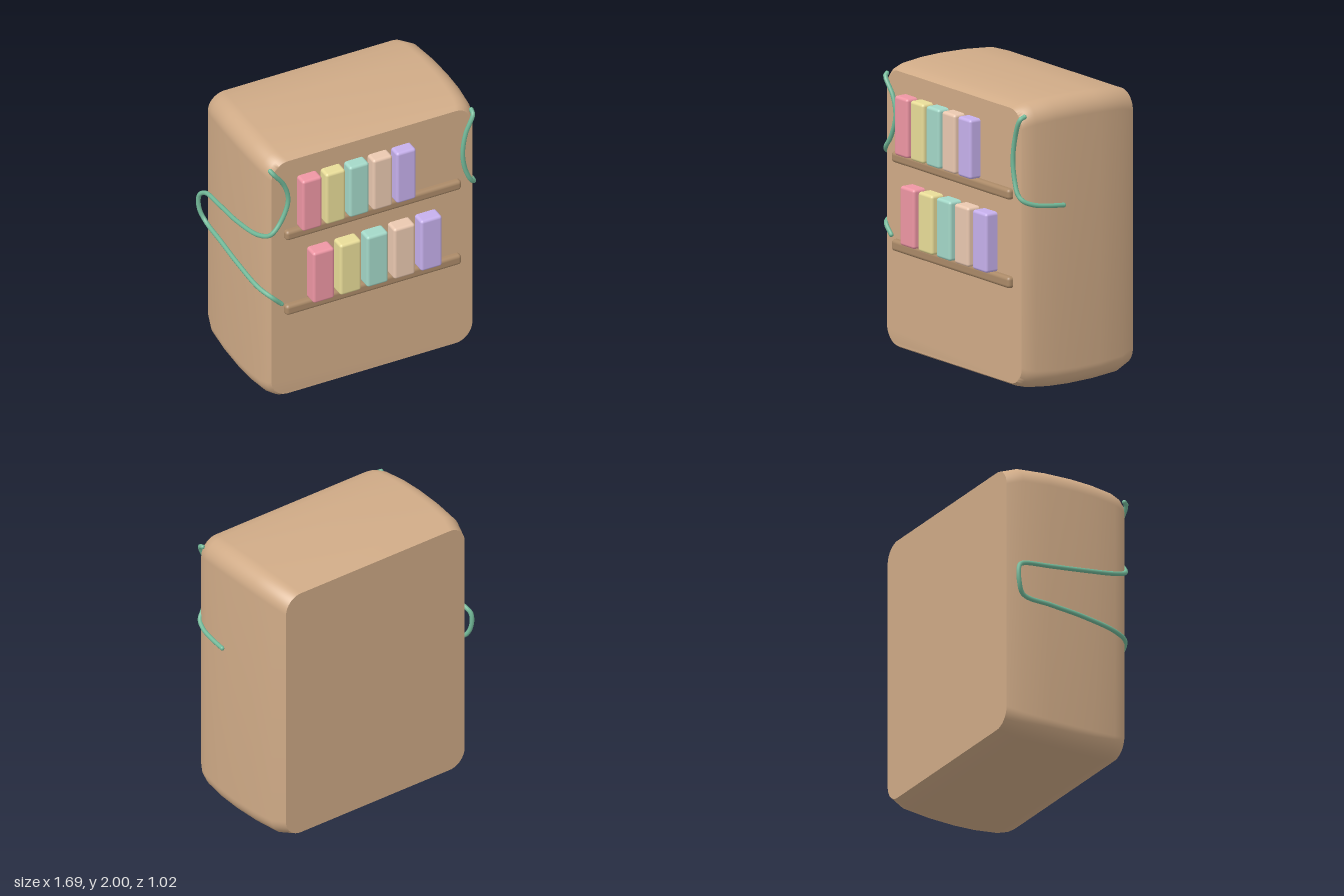
import * as THREE from 'three';
import { toCreasedNormals } from 'three/addons/utils/BufferGeometryUtils.js';
import { RoundedBoxGeometry } from 'three/addons/geometries/RoundedBoxGeometry.js';

const material = (color) => new THREE.MeshStandardMaterial({ color });

function addMesh(parent, name, geometry, mat) {
  const mesh = new THREE.Mesh(geometry, mat);
  mesh.name = name;
  parent.add(mesh);
  return mesh;
}

// Rounded rectangle extruded along z, drawn in towards the front and back
function bodyGeometry() {
  const w = 0.807, h = 1, r = 0.135;
  const shape = new THREE.Shape();
  shape.moveTo(-w + r, -h);
  shape.lineTo(w - r, -h);
  shape.absarc(w - r, -h + r, r, -Math.PI / 2, 0);
  shape.lineTo(w, h - r);
  shape.absarc(w - r, h - r, r, 0, Math.PI / 2);
  shape.lineTo(-w + r, h);
  shape.absarc(-w + r, h - r, r, Math.PI / 2, Math.PI);
  shape.lineTo(-w, -h + r);
  shape.absarc(-w + r, -h + r, r, Math.PI, Math.PI * 1.5);

  // [z, inset] at each station
  const stations = [[-0.51, 0.053], [-0.4, 0.018], [-0.2, 0.004], [0, 0], [0.16, 0.004], [0.32, 0.018], [0.385, 0.035], [0.415, 0.053]];
  const steps = stations.length - 1;
  const geo = new THREE.ExtrudeGeometry(shape, { depth: 1, steps, bevelEnabled: false, curveSegments: 8 });
  const p = geo.attributes.position;
  for (let i = 0; i < p.count; i++) {
    const [z, inset] = stations[Math.round(p.getZ(i) * steps)];
    p.setXYZ(i, p.getX(i) * (1 - inset / w) + 0.017, p.getY(i) * (1 - inset) + 1, z);
  }
  return toCreasedNormals(geo, 0.9);
}

// Round cord through points, with rounded ends
function addCord(parent, name, points, mat) {
  const group = new THREE.Group();
  group.name = name;
  const pts = points.map((q) => new THREE.Vector3(...q));
  const curve = new THREE.CatmullRomCurve3(pts, false, 'centripetal');
  addMesh(group, 'cord', new THREE.TubeGeometry(curve, 120, 0.016, 10), mat);
  for (const end of [pts[0], pts[pts.length - 1]]) {
    addMesh(group, 'cordEnd', new THREE.SphereGeometry(0.016, 10, 8), mat).position.copy(end);
  }
  parent.add(group);
}

export function createModel() {
  const model = new THREE.Group();
  addMesh(model, 'body', bodyGeometry(), material(0xd0ab87));

  // Two shelves, each with a row of five blocks
  const shelfMat = material(0xab8a68);
  const blockMats = [0xee96a4, 0xe8dc98, 0xa4d8c8, 0xeac8b0, 0xc6b0ec].map(material);
  const rows = [
    { y: 1.32, top: 1.395, x: -0.472, pitch: 0.177, width: 0.147, front: 0.5 },
    { y: 0.71, top: 0.79, x: -0.39, pitch: 0.2025, width: 0.16, front: 0.51 },
  ];
  for (const row of rows) {
    const height = row.top - row.y;
    addMesh(model, 'shelf', new RoundedBoxGeometry(1.32, height, 0.105, 3, 0.024), shelfMat)
      .position.set(0.016, row.y + height / 2, 0.4025);
    blockMats.forEach((mat, i) => {
      addMesh(model, 'block', new RoundedBoxGeometry(row.width, 0.41, 0.16, 3, 0.02), mat)
        .position.set(row.x + i * row.pitch, row.top + 0.205, row.front - 0.08);
    });
  }

  // Cord looping around the right side and back to the front
  const cordMat = material(0x72b898);
  addCord(model, 'rightCord', [
    [-0.745, 1.905, 0.41], [-0.735, 1.89, 0.43], [-0.65, 1.77, 0.43], [-0.62, 1.64, 0.43],
    [-0.67, 1.49, 0.43], [-0.745, 1.39, 0.42], [-0.785, 1.34, 0.32], [-0.806, 1.29, 0.05],
    [-0.803, 1.26, -0.2], [-0.805, 1.23, -0.42], [-0.825, 1.19, -0.465], [-0.825, 1.08, -0.465],
    [-0.803, 1.0, -0.42], [-0.803, 0.975, -0.2], [-0.805, 0.95, 0.05], [-0.785, 0.91, 0.32],
    [-0.74, 0.88, 0.42], [-0.67, 0.81, 0.43],
  ], cordMat);

  // Shorter cord ending on the left side
  addCord(model, 'leftCord', [
    [0.775, 1.908, 0.395], [0.77, 1.89, 0.428], [0.715, 1.75, 0.43], [0.693, 1.6, 0.43],
    [0.71, 1.47, 0.43], [0.75, 1.37, 0.43], [0.785, 1.33, 0.41], [0.812, 1.3, 0.34],
    [0.825, 1.282, 0.23], [0.83, 1.27, 0.11],
  ], cordMat);

  return model;
}
